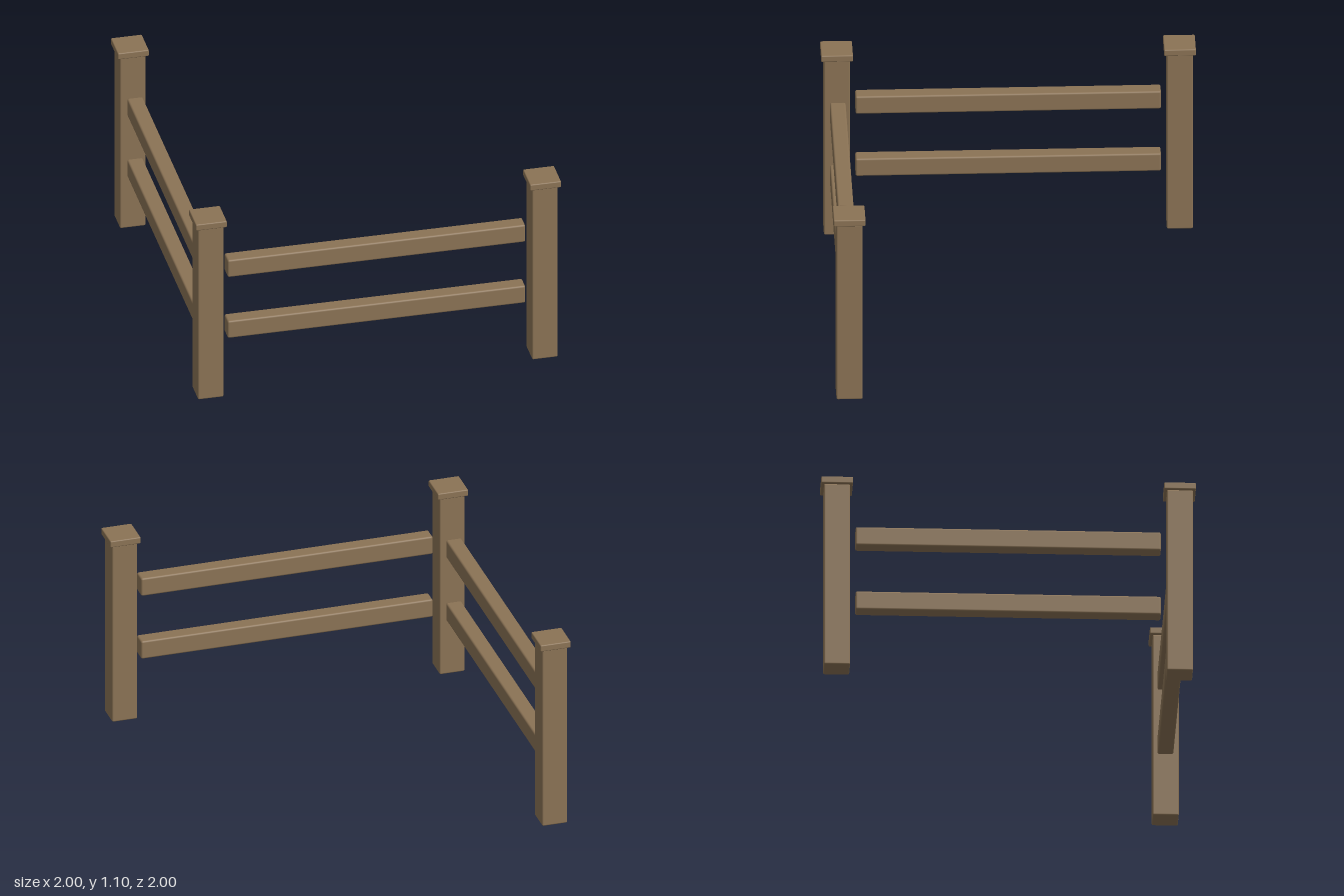
import * as THREE from 'three';
import { RoundedBoxGeometry } from 'three/addons/geometries/RoundedBoxGeometry.js';

export function createModel() {
  const model = new THREE.Group();
  model.name = 'cornerFence';

  const wood = new THREE.MeshStandardMaterial({ color: 0x8b7355 });
  wood.name = 'weatheredWood';

  const corner = 0.915; // post centre distance from the middle
  const timber = (name, size, position, bevel, parent) => {
    const mesh = new THREE.Mesh(new RoundedBoxGeometry(...size, 2, bevel), wood);
    mesh.name = name;
    mesh.position.set(...position);
    parent.add(mesh);
  };

  // Three square posts, each with an overhanging flat cap
  const posts = [
    ['cornerPost', -corner, corner],
    ['leftPost', corner, corner],
    ['backPost', -corner, -corner],
  ];
  for (const [name, x, z] of posts) {
    const post = new THREE.Group();
    post.name = name;
    post.position.set(x, 0, z);
    timber('shaft', [0.14, 1.06, 0.14], [0, 0.53, 0], 0.008, post);
    timber('cap', [0.17, 0.038, 0.17], [0, 1.078, 0], 0.006, post);
    model.add(post);
  }

  // Two rails per side, stopping just short of the posts
  for (const [level, y] of [['lower', 0.393], ['upper', 0.771]]) {
    timber(level + 'FrontRail', [1.63, 0.106, 0.085], [0, y, 0.912], 0.01, model);
    timber(level + 'SideRail', [0.085, 0.106, 1.63], [-0.912, y, 0], 0.01, model);
  }

  return model;
}
